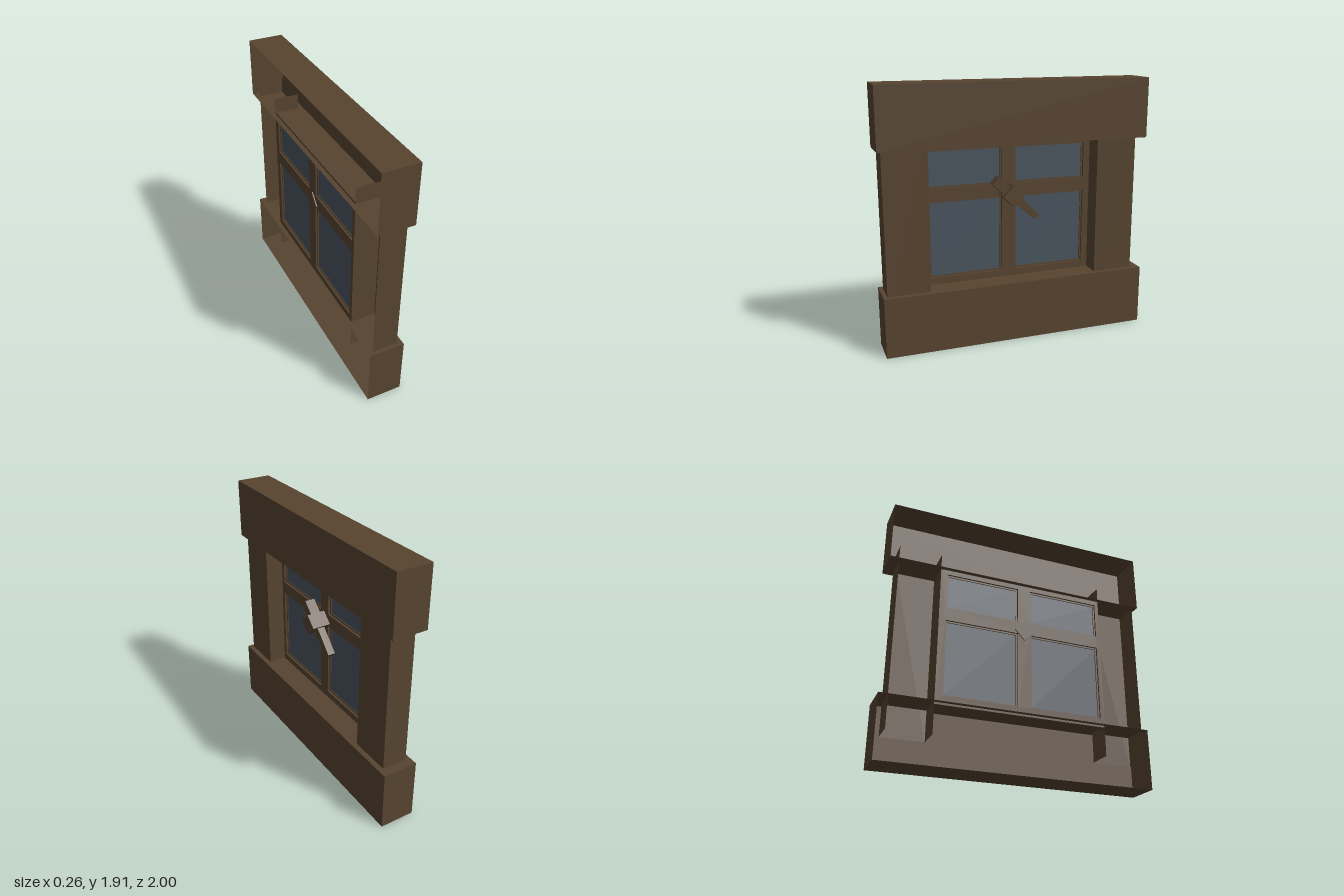
import * as THREE from 'three';

const wood = new THREE.MeshStandardMaterial({ color: 0x574430, side: THREE.DoubleSide });
wood.name = 'dark wood';
const glass = new THREE.MeshStandardMaterial({ color: 0x4a545f, side: THREE.DoubleSide });
glass.name = 'window glass';

// Box from min/max corners; skip lists the open sides (0 +x, 1 -x, 2 +y, 3 -y, 4 +z, 5 -z)
function box(name, [x0, x1], [y0, y1], [z0, z1], material = wood, skip = []) {
  const geo = new THREE.BoxGeometry(x1 - x0, y1 - y0, z1 - z0);
  const index = Array.from(geo.index.array).filter((_, i) => !skip.includes(Math.floor(i / 6)));
  geo.setIndex(index);
  geo.clearGroups();
  geo.translate((x0 + x1) / 2, (y0 + y1) / 2, (z0 + z1) / 2);
  const mesh = new THREE.Mesh(geo, material);
  mesh.name = name;
  return mesh;
}

function rect(target, [z0, z1], [y0, y1]) {
  target.moveTo(-z1, y0);
  target.lineTo(-z0, y0);
  target.lineTo(-z0, y1);
  target.lineTo(-z1, y1);
  target.closePath();
  return target;
}

// Flat panel in the z-y plane with rectangular holes, from x0 to x1
function panel(name, zs, ys, holes, x0, x1) {
  const shape = rect(new THREE.Shape(), zs, ys);
  for (const [hz, hy] of holes) shape.holes.push(rect(new THREE.Path(), hz, hy));
  const geo = new THREE.ExtrudeGeometry(shape, { depth: x1 - x0, bevelEnabled: false });
  geo.rotateY(Math.PI / 2);
  geo.translate(x0, 0, 0);
  const mesh = new THREE.Mesh(geo, wood);
  mesh.name = name;
  return mesh;
}

export function createModel() {
  const model = new THREE.Group();
  model.name = 'window';

  // Hollow beams, open towards the wall side
  model.add(box('sillBeam', [-0.13, 0.13], [0, 0.445], [-1, 1], wood, [1]));
  model.add(box('lintelBeam', [-0.13, 0.13], [1.47, 1.91], [-1, 1], wood, [1]));

  // Channel-shaped posts that run into both beams
  for (const z of [[0.66, 0.97], [-0.93, -0.62]])
    model.add(box('post', [-0.096, 0.091], [0.22, 1.59], z, wood, [1, 2, 3]));

  // Frame with four panes, each held by a narrow bead
  const panes = [];
  for (const z of [[0.08, 0.63], [-0.57, -0.02]])
    for (const y of [[0.495, 1.065], [1.16, 1.435]]) panes.push([z, y]);
  model.add(panel('windowFrame', [-0.62, 0.66], [0.43, 1.485], panes, -0.096, -0.045));
  for (const [z, y] of panes) {
    const inner = [z, y].map(([a, b]) => [a + 0.012, b - 0.012]);
    model.add(panel('paneBead', z, y, [inner], -0.083, -0.061));
    model.add(box('pane', [-0.076, -0.068], inner[1], inner[0], glass));
  }

  // Slanted latch: square hub with a wide grip and a tapering lever
  const latch = new THREE.Group();
  latch.name = 'latch';
  latch.add(box('latchHub', [-0.104, 0.094], [-0.055, 0.055], [-0.055, 0.055]));
  latch.add(box('latchGrip', [-0.02, 0.055], [-0.035, 0.035], [0.05, 0.168]));
  const lever = box('latchLever', [-0.005, 0.05], [-0.033, 0.033], [-0.265, -0.05]);
  const p = lever.geometry.attributes.position;
  for (let i = 0; i < p.count; i++) if (p.getZ(i) < -0.2) p.setY(i, p.getY(i) * 0.7);
  lever.geometry.computeVertexNormals();
  latch.add(lever);
  latch.position.set(0, 1.09, 0.033);
  latch.rotation.x = -0.745;
  model.add(latch);

  return model;
}
